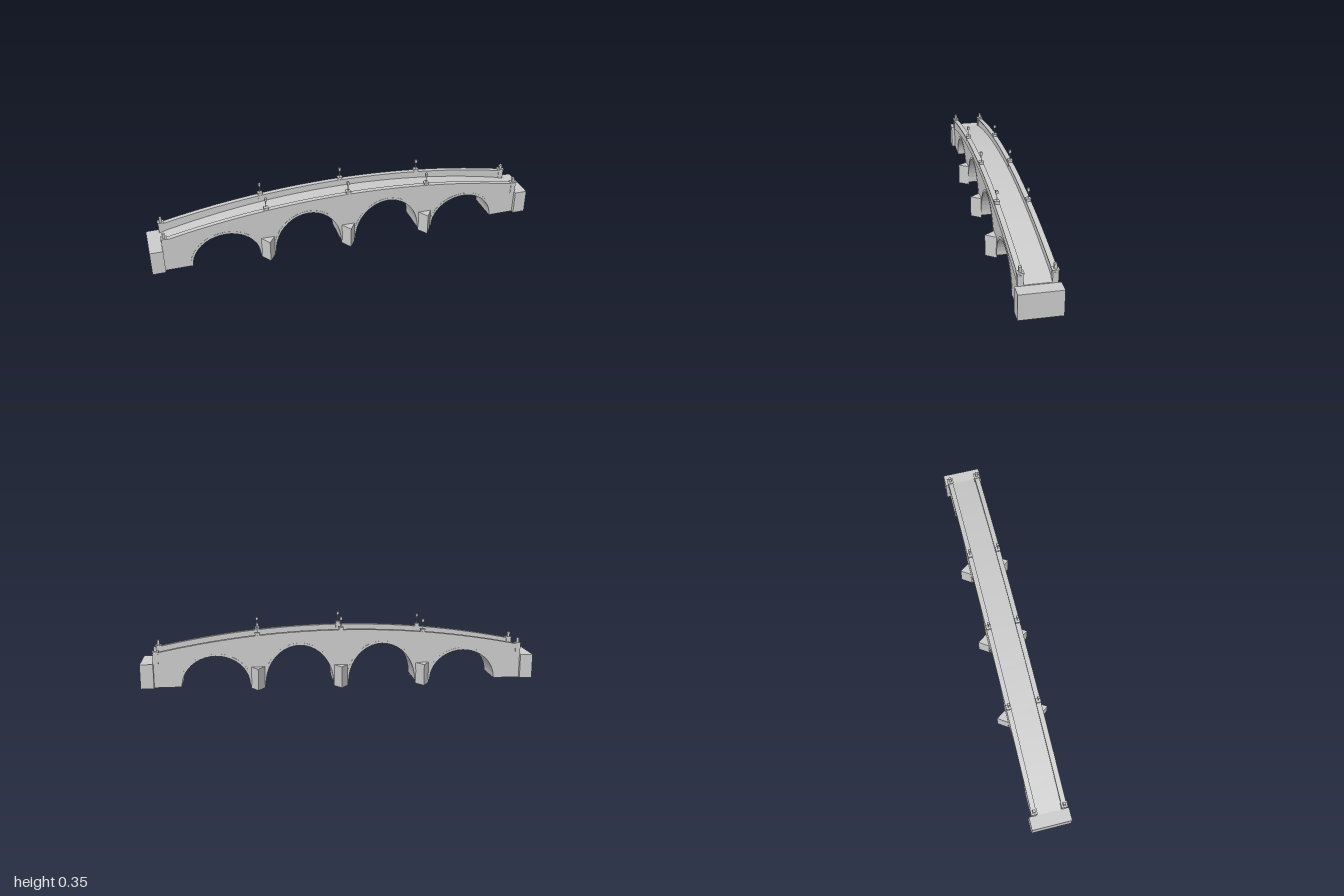
import * as THREE from 'three';

const END = 0.937;      // half length of the span
const BASE = 0.017;     // underside of the masonry
const HALF = 0.082;     // half width of the body
const RAIL_Z = 0.0745;  // centre line of the parapets
const deckY = (x) => 0.257 - 0.112 * (x / END) ** 2;
const wallY = (x) => 0.286 - 0.1 * (x / END) ** 2;
const ARCHES = [
  { x: -0.63, rx: 0.17, ry: 0.154 }, { x: -0.21, rx: 0.172, ry: 0.199 },
  { x: 0.21, rx: 0.172, ry: 0.199 }, { x: 0.63, rx: 0.17, ry: 0.154 },
];

export function createModel() {
  const bridge = new THREE.Group();
  bridge.name = 'archBridge';
  const stone = new THREE.MeshStandardMaterial({ color: 0xcccccc, flatShading: true });

  const add = (name, geometry, x = 0, y = 0, z = 0, parent = bridge) => {
    const mesh = new THREE.Mesh(geometry, stone);
    mesh.name = name;
    mesh.position.set(x, y, z);
    parent.add(mesh);
    return mesh;
  };
  const box = (name, w, h, d, x, y, z, parent) =>
    add(name, new THREE.BoxGeometry(w, h, d), x, y + h / 2, z, parent);
  // extrude an outline in x,y centred on z
  const slab = (name, points, depth, z = 0) => {
    const g = new THREE.ExtrudeGeometry(new THREE.Shape(points), { depth, bevelEnabled: false });
    return add(name, g.translate(0, 0, -depth / 2), 0, 0, z);
  };
  // points along a curve y = f(x) from end to end
  const sweep = (f, n = 32) => Array.from({ length: n + 1 }, (_, i) => {
    const x = -END + (2 * END * i) / n;
    return new THREE.Vector2(x, f(x));
  });
  // points along an arch, left to right, widened by t
  const archLine = (a, t = 0, n = 20) => Array.from({ length: n + 1 }, (_, i) => {
    const p = Math.PI * (1 - i / n);
    return new THREE.Vector2(a.x + (a.rx + t) * Math.cos(p), BASE + (a.ry + t) * Math.sin(p));
  });

  // body: curved deck above four arched openings
  const outline = [new THREE.Vector2(-END, BASE)];
  for (const a of ARCHES) outline.push(...archLine(a));
  outline.push(new THREE.Vector2(END, BASE), ...sweep(deckY).reverse());
  slab('bridgeBody', outline, HALF * 2);

  for (const s of [1, -1]) {
    const z = s * RAIL_Z;

    // parapet wall and its coping
    slab('parapet', [...sweep((x) => deckY(x) - 0.01), ...sweep(wallY).reverse()], 0.02, z);
    slab('coping', [...sweep(wallY), ...sweep((x) => wallY(x) + 0.005).reverse()], 0.025, z);

    // shallow rings around the arch openings
    for (const a of ARCHES)
      slab('archRing', [...archLine(a), ...archLine(a, 0.012).reverse()], 0.002, s * (HALF + 0.0003));

    // pointed cutwaters on the piers
    for (const x of [-0.42, 0, 0.42]) {
      const tri = new THREE.Shape([
        new THREE.Vector2(-0.035, 0), new THREE.Vector2(0.035, 0), new THREE.Vector2(0, 0.052),
      ]);
      const g = new THREE.ExtrudeGeometry(tri, { depth: 0.11, bevelEnabled: false });
      g.rotateX(-Math.PI / 2).rotateY(s > 0 ? Math.PI : 0);
      add('cutwater', g, x, 0, s * 0.08);

      // lamp on a pedestal above each pier
      const lamp = new THREE.Group();
      lamp.name = 'lampPost';
      lamp.position.set(x, wallY(x), z);
      bridge.add(lamp);
      box('pedestal', 0.022, 0.034, 0.022, 0, -0.018, 0, lamp);
      box('pedestalCap', 0.025, 0.004, 0.025, 0, 0.015, 0, lamp);
      add('pole', new THREE.CylinderGeometry(0.002, 0.002, 0.038, 8), 0, 0.037, 0, lamp);
      box('lantern', 0.012, 0.015, 0.012, 0, 0.054, 0, lamp);
    }

    // posts closing the parapets at both ends
    for (const e of [1, -1]) {
      const post = new THREE.Group();
      post.name = 'endPost';
      post.position.set(e * 0.923, 0, z);
      bridge.add(post);
      box('postShaft', 0.026, 0.06, 0.026, 0, 0.138, 0, post);
      box('postCap', 0.032, 0.005, 0.032, 0, 0.197, 0, post);
      box('postFinial', 0.013, 0.025, 0.013, 0, 0.202, 0, post);
    }
  }

  // abutment blocks
  for (const e of [1, -1])
    box('abutment', 0.065, 0.124, 0.2, e * 0.9675, BASE, 0);

  return bridge;
}
